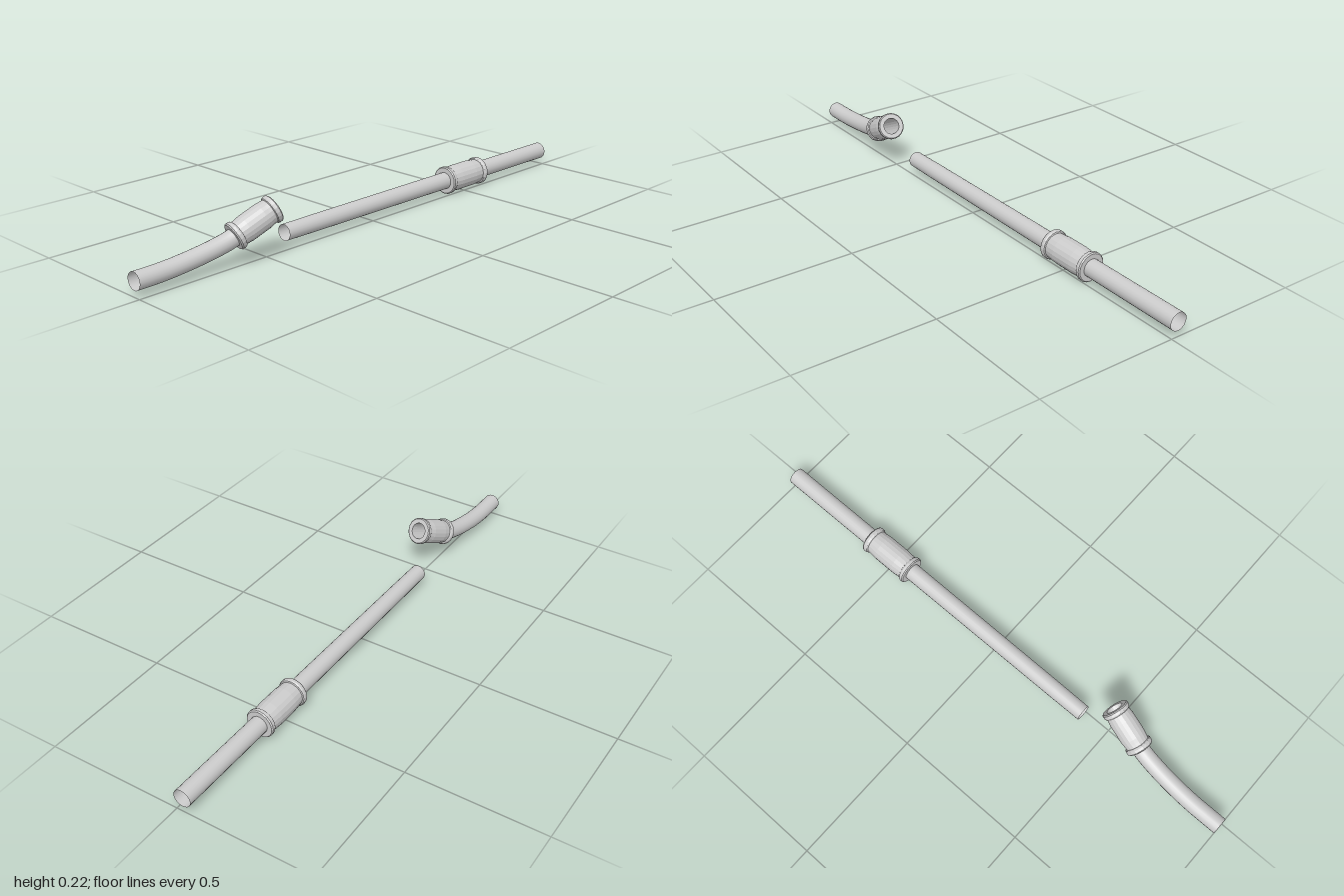
import * as THREE from 'three';

const SIDES = 20;
const material = new THREE.MeshStandardMaterial({ color: 0xcccccc, side: THREE.DoubleSide });
const facetMaterial = new THREE.MeshStandardMaterial({ color: 0xcccccc, side: THREE.DoubleSide, flatShading: true });

function addMesh(parent, name, geometry, mat = material) {
  const mesh = new THREE.Mesh(geometry, mat);
  mesh.name = name;
  parent.add(mesh);
  return mesh;
}

// Turns a [radius, height] profile around the y axis
function lathe(profile) {
  return new THREE.LatheGeometry(profile.map(([r, y]) => new THREE.Vector2(r, y)), SIDES);
}

// Hollow sleeve with a lipped flange at each end, centred and running along y
function couplingGeometry(length, r) {
  const h = length / 2;
  const half = [
    [0.6 * r, h], [0.93 * r, h], [r, h - 0.004], [r, h - 0.014],
    [0.95 * r, h - 0.019], [0.87 * r, h - 0.021], [0.89 * r, h - 0.034], [0.93 * r, h * 0.4],
  ];
  const lower = half.map(([x, y]) => [x, -y]);
  return lathe([...lower, ...half.slice().reverse(), lower[0]]);
}

// Places a y-aligned mesh between two points
function alignBetween(mesh, from, to) {
  const dir = to.clone().sub(from).normalize();
  mesh.position.copy(from).add(to).multiplyScalar(0.5);
  mesh.quaternion.setFromUnitVectors(new THREE.Vector3(0, 1, 0), dir);
}

export function createModel() {
  const model = new THREE.Group();
  model.name = 'pipes';
  const axisY = 0.055, axisZ = -0.024;
  const at = (x, y = axisY, z = axisZ) => new THREE.Vector3(x, y, z);

  // Long open pipe, slightly narrowed at its inner end
  const longPipe = addMesh(model, 'longPipe', lathe([[0.029, -0.7], [0.03, -0.57], [0.0315, 0.1], [0.032, 0.7]]));
  alignBetween(longPipe, at(-0.4), at(1));

  // Coupling on the long pipe
  const coupling = addMesh(model, 'coupling', couplingGeometry(0.198, 0.0525), facetMaterial);
  alignBetween(coupling, at(0.412), at(0.61));

  // Short pipe that bends up and forward into the end coupling
  const start = at(-0.632, 0.104, -0.003), end = at(-0.484, 0.175, 0.028);
  const along = (t) => start.clone().lerp(end, t);
  const bend = new THREE.CatmullRomCurve3([
    at(-1), at(-0.94), at(-0.88, 0.057), at(-0.8, 0.065, -0.021),
    at(-0.71, 0.08, -0.014), along(-0.1), along(0.15),
  ]);
  addMesh(model, 'bentPipe', new THREE.TubeGeometry(bend, 32, 0.031, SIDES, false));

  // Open coupling at the end of the bend
  const endCoupling = addMesh(model, 'endCoupling', couplingGeometry(start.distanceTo(end), 0.0495), facetMaterial);
  alignBetween(endCoupling, start, end);

  return model;
}
